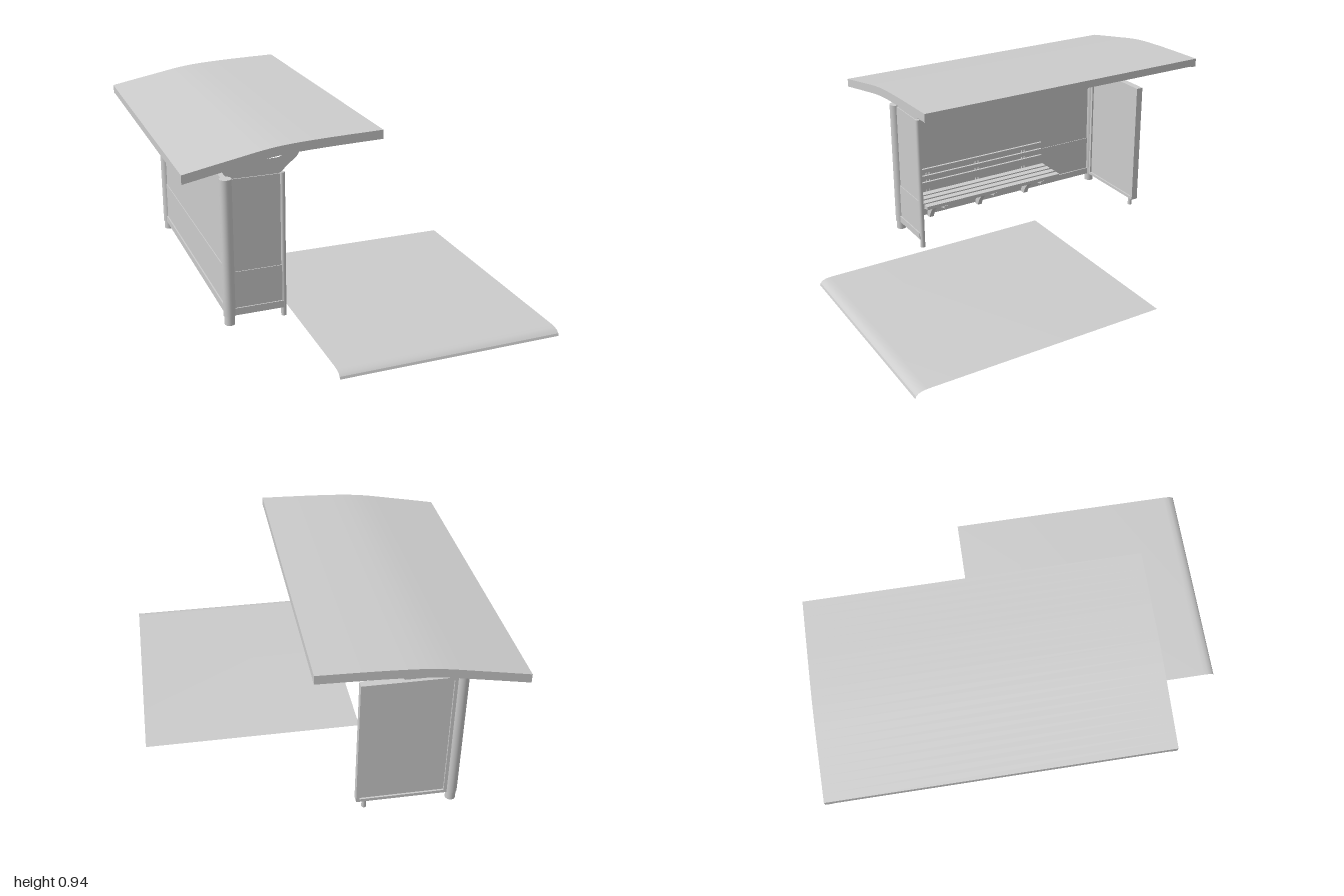
import * as THREE from 'three';
import { toCreasedNormals } from 'three/addons/utils/BufferGeometryUtils.js';

const grey = new THREE.MeshStandardMaterial({ color: 0xcccccc });
const greyThin = new THREE.MeshStandardMaterial({ color: 0xcccccc, side: THREE.DoubleSide });

function add(parent, name, geometry, material = grey) {
  const mesh = new THREE.Mesh(geometry, material);
  mesh.name = name;
  parent.add(mesh);
  return mesh;
}

// Box given by its limits on each axis
function box(parent, name, [x0, x1], [y0, y1], [z0, z1]) {
  const mesh = add(parent, name, new THREE.BoxGeometry(x1 - x0, y1 - y0, z1 - z0));
  mesh.position.set((x0 + x1) / 2, (y0 + y1) / 2, (z0 + z1) / 2);
  return mesh;
}

function post(parent, name, x, z, radius, y0, y1, sides = 24) {
  const mesh = add(parent, name, new THREE.CylinderGeometry(radius, radius, y1 - y0, sides));
  mesh.position.set(x, (y0 + y1) / 2, z);
}

// Top line of the arched roof
const roofCurve = new THREE.SplineCurve([
  [-0.81, 0.837], [-0.6, 0.877], [-0.4, 0.912], [-0.2, 0.926], [0.1, 0.935],
].map(([x, y]) => new THREE.Vector2(x, y)));
const roofLine = roofCurve.getPoints(80);
function roofY(x) {
  const i = Math.max(1, roofLine.findIndex((p) => p.x >= x - 1e-6));
  const a = roofLine[i - 1], b = roofLine[i];
  return a.y + (b.y - a.y) * (x - a.x) / (b.x - a.x);
}

// Strip that follows the roof curve from x0 to x1, between two depths below it
function roofStrip(parent, name, x0, x1, z0, z1, top, bottom) {
  const n = Math.max(2, Math.ceil((x1 - x0) * 26));
  const upper = [], lower = [];
  for (let i = 0; i <= n; i++) {
    const x = x0 + (x1 - x0) * i / n;
    upper.push(new THREE.Vector2(x, roofY(x) - top));
    lower.unshift(new THREE.Vector2(x, roofY(x) - bottom));
  }
  const geometry = new THREE.ExtrudeGeometry(new THREE.Shape([...lower, ...upper]), {
    depth: z1 - z0, bevelEnabled: false,
  });
  geometry.translate(0, 0, z0);
  add(parent, name, toCreasedNormals(geometry, 0.5));
}

function buildRoof() {
  const roof = new THREE.Group();
  roof.name = 'roof';
  roofStrip(roof, 'roofSheet', -0.81, 0.1, -1, 0.57, 0, 0.01);
  // rim
  for (const z of [-1, 0.54]) roofStrip(roof, 'endRim', -0.81, 0.1, z, z + 0.03, 0.008, 0.042);
  roofStrip(roof, 'backRim', -0.81, -0.785, -0.97, 0.54, 0.008, 0.037);
  roofStrip(roof, 'frontRim', 0.075, 0.1, -0.97, 0.54, 0.008, 0.038);
  // ribs below the sheet
  for (const z of [-0.825, -0.205, 0.41]) roofStrip(roof, 'crossRib', -0.785, 0.075, z - 0.013, z + 0.013, 0.008, 0.036);
  roofStrip(roof, 'lengthRib', -0.37, -0.34, -0.97, 0.54, 0.008, 0.03);
  return roof;
}

// Thin two-armed plate that carries the roof
function bracketGeometry() {
  const s = new THREE.Shape();
  s.moveTo(-0.55, 0.735);
  s.lineTo(-0.325, 0.735);
  s.quadraticCurveTo(-0.3, 0.765, -0.265, 0.79);
  s.quadraticCurveTo(-0.235, 0.81, -0.23, 0.85);
  s.lineTo(-0.215, 0.9);
  s.lineTo(-0.255, 0.9);
  s.lineTo(-0.275, 0.855);
  s.quadraticCurveTo(-0.3, 0.815, -0.34, 0.81);
  s.lineTo(-0.53, 0.803);
  s.quadraticCurveTo(-0.565, 0.805, -0.57, 0.845);
  s.lineTo(-0.61, 0.845);
  s.quadraticCurveTo(-0.595, 0.785, -0.55, 0.765);
  s.closePath();
  return new THREE.ShapeGeometry(s, 8);
}

function buildBench() {
  const bench = new THREE.Group();
  bench.name = 'bench';
  const span = [-0.46, 0.36];
  for (let i = 0; i < 4; i++) {
    const x = -0.53 + i * 0.047;
    box(bench, 'seatSlat', [x, x + 0.035], [0.212, 0.23], span);
  }
  for (const y of [0.237, 0.257, 0.295, 0.335]) box(bench, 'backSlat', [-0.553, -0.54], [y, y + 0.021], span);

  // curved arm from the foot of the wall to the front of the seat
  const arm = new THREE.Shape();
  arm.moveTo(-0.57, 0.07);
  arm.lineTo(-0.535, 0.07);
  arm.quadraticCurveTo(-0.5, 0.175, -0.35, 0.2);
  arm.lineTo(-0.35, 0.213);
  arm.lineTo(-0.55, 0.213);
  arm.lineTo(-0.55, 0.2);
  arm.lineTo(-0.455, 0.2);
  arm.quadraticCurveTo(-0.535, 0.165, -0.57, 0.07);
  const armGeometry = toCreasedNormals(new THREE.ExtrudeGeometry(arm, {
    depth: 0.025, bevelEnabled: false, curveSegments: 10,
  }), 0.5);
  for (const z of [-0.35, -0.05, 0.25]) {
    add(bench, 'seatArm', armGeometry).position.z = z - 0.0125;
    for (const side of [-1, 1]) {
      const c = z + side * 0.009;
      box(bench, 'backSupport', [-0.563, -0.552], [0.2, 0.35], [c - 0.004, c + 0.004]);
    }
  }
  return bench;
}

// Walkway sheet with a rounded lip along its front edge
function walkwayGeometry() {
  const section = [[-0.25, 0.03], [0.94, 0.03], [0.965, 0.028], [0.985, 0.021], [0.996, 0.011], [1, 0]];
  const points = [], index = [];
  section.forEach(([z, y], i) => {
    points.push(-0.27, y, z, 0.805, y, z);
    if (i) {
      const a = 2 * i - 2;
      index.push(a, a + 2, a + 1, a + 1, a + 2, a + 3);
    }
  });
  const geometry = new THREE.BufferGeometry();
  geometry.setAttribute('position', new THREE.Float32BufferAttribute(points, 3));
  geometry.setIndex(index);
  return toCreasedNormals(geometry, 0.45);
}

export function createModel() {
  const model = new THREE.Group();
  model.name = 'shelter';
  const front = 0.412, back = -0.822, wallX = -0.58;

  model.add(buildRoof());
  for (const z of [front, back]) {
    add(model, 'roofBracket', bracketGeometry(), greyThin).position.z = z;
    post(model, 'mainPost', wallX, z, 0.028, 0.075, 0.74);
    post(model, 'postFoot', wallX, z, 0.024, 0.03, 0.075);
  }

  // long back wall: pane, lower panel and base rail
  box(model, 'wallPane', [wallX - 0.005, wallX + 0.005], [0.1, 0.735], [back, front]);
  box(model, 'lowerWallPanel', [wallX - 0.009, wallX + 0.009], [0.1, 0.3], [back, front]);
  box(model, 'wallBaseRail', [wallX - 0.016, wallX + 0.016], [0.075, 0.11], [back, front]);
  box(model, 'wallTopRail', [wallX - 0.012, wallX + 0.012], [0.715, 0.735], [back, front]);

  // short side wall with its slim post
  box(model, 'sidePane', [-0.56, -0.32], [0.1, 0.735], [front - 0.005, front + 0.005]);
  box(model, 'lowerSidePanel', [-0.56, -0.32], [0.1, 0.29], [front - 0.009, front + 0.009]);
  box(model, 'sideBaseRail', [-0.56, -0.32], [0.075, 0.11], [front - 0.015, front + 0.015]);
  post(model, 'slimPost', -0.317, front, 0.0125, 0.03, 0.74, 16);

  // framed display panel on the far side
  const frame = new THREE.Group();
  frame.name = 'displayPanel';
  const depth = [back - 0.018, back + 0.018];
  box(frame, 'displayPane', [-0.54, -0.14], [0.08, 0.73], [back - 0.009, back + 0.009]);
  for (const x of [-0.555, -0.145]) box(frame, 'frameSide', [x, x + 0.015], [0.075, 0.735], depth);
  for (const y of [0.075, 0.72]) box(frame, 'frameRail', [-0.54, -0.145], [y, y + 0.015], depth);
  post(frame, 'panelLeg', -0.17, back, 0.011, 0.03, 0.08, 16);
  model.add(frame);

  model.add(buildBench());
  add(model, 'walkway', walkwayGeometry(), greyThin);
  return model;
}
